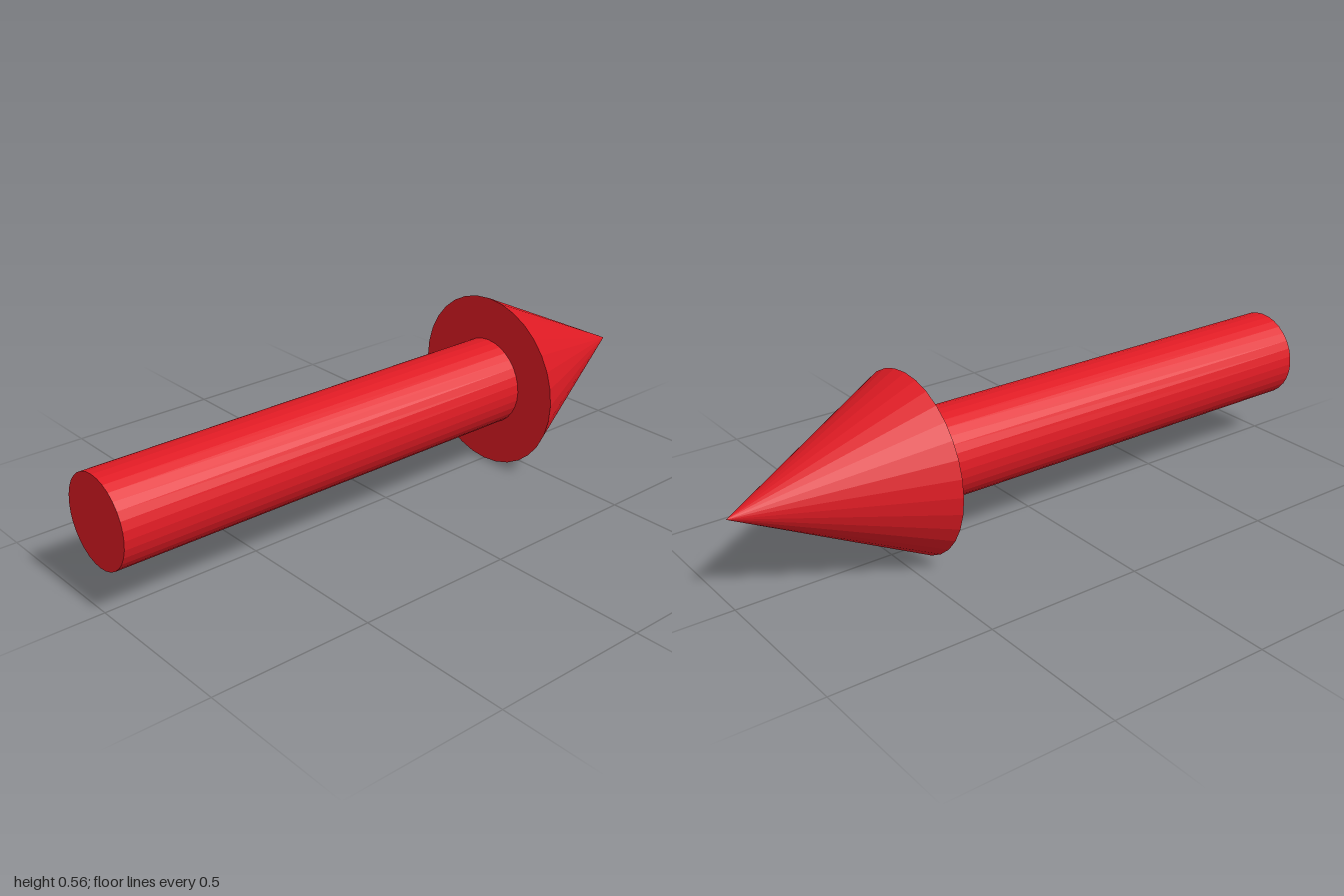
import * as THREE from 'three';

const SIDES = 32;
const AXIS_Y = 0.278;

export function createModel() {
  const group = new THREE.Group();
  group.name = 'arrow';
  const material = new THREE.MeshStandardMaterial({ color: 0xe01b24 });
  material.flatShading = true;

  // Lays an upright geometry along +x, spanning x0 to x1
  function addPart(name, tipRadius, baseRadius, x0, x1) {
    const geometry = tipRadius === 0
      ? new THREE.ConeGeometry(baseRadius, x1 - x0, SIDES)
      : new THREE.CylinderGeometry(tipRadius, baseRadius, x1 - x0, SIDES);
    geometry.rotateZ(-Math.PI / 2);
    const mesh = new THREE.Mesh(geometry, material);
    mesh.name = name;
    mesh.position.set((x0 + x1) / 2, AXIS_Y, 0);
    group.add(mesh);
  }

  // Straight round shaft and pointed head
  addPart('shaft', 0.139, 0.139, -1, 0.43);
  addPart('head', 0, 0.278, 0.43, 1);

  return group;
}
